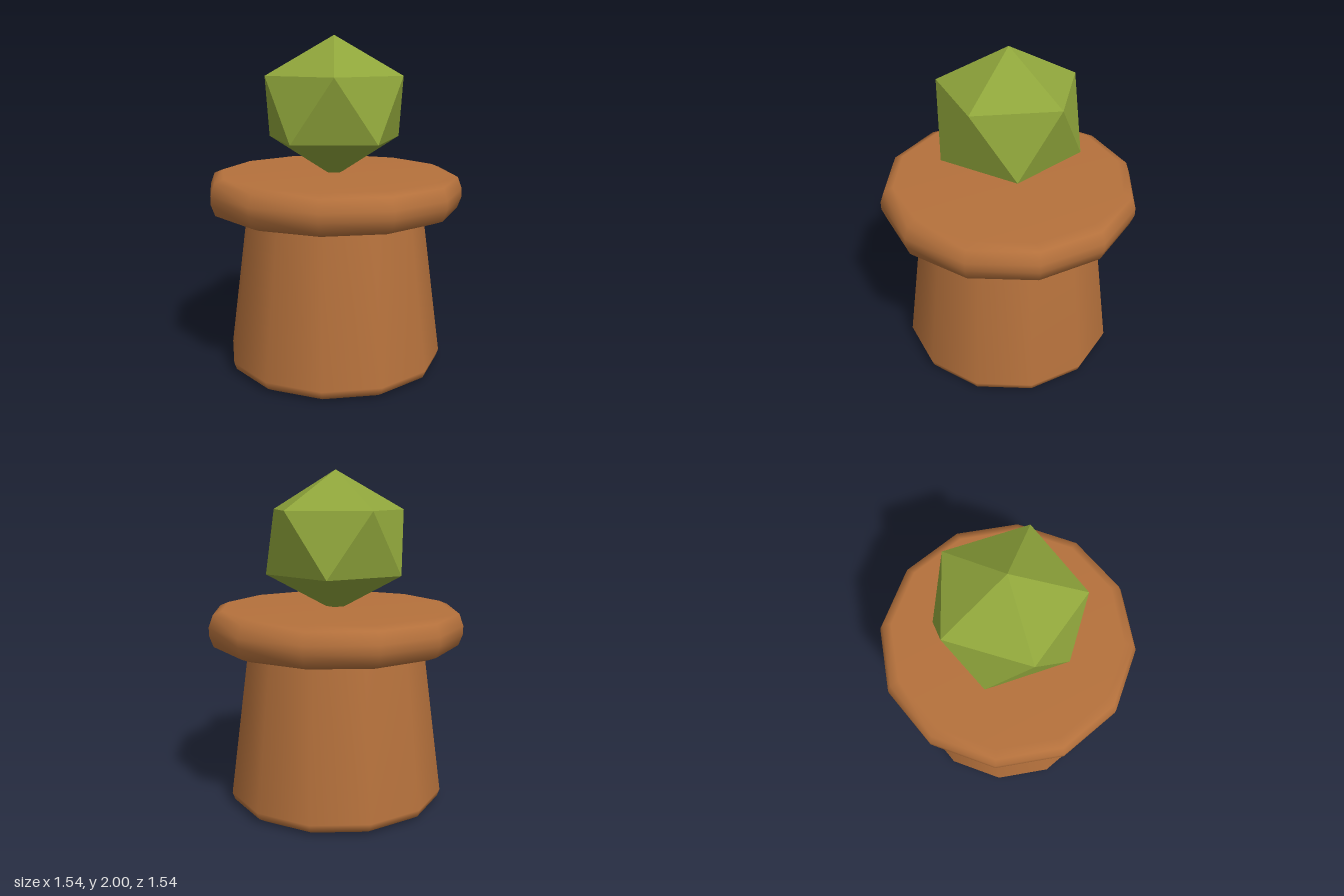
import * as THREE from 'three';

const SIDES = 12;

function turned(name, profile, material) {
  const points = profile.map(([r, y]) => new THREE.Vector2(r, y));
  const mesh = new THREE.Mesh(new THREE.LatheGeometry(points, SIDES), material);
  mesh.name = name;
  return mesh;
}

// Faceted ball: two poles and two staggered rings of five corners
function facetedBall(ringRadius, halfHeight) {
  const corner = (i, step, y) => {
    const a = (i + step) * Math.PI * 2 / 5;
    return [ringRadius * Math.cos(a), y, -ringRadius * Math.sin(a)];
  };
  const ringY = halfHeight / Math.sqrt(5);
  const top = [0, halfHeight, 0], bottom = [0, -halfHeight, 0];
  const positions = [];
  for (let i = 0; i < 5; i++) {
    const u0 = corner(i, 0, ringY), u1 = corner(i, 1, ringY);
    const l0 = corner(i, 0.5, -ringY), l1 = corner(i, 1.5, -ringY);
    positions.push(...top, ...u0, ...u1);
    positions.push(...u0, ...l0, ...u1);
    positions.push(...u1, ...l0, ...l1);
    positions.push(...bottom, ...l1, ...l0);
  }
  const geometry = new THREE.BufferGeometry();
  geometry.setAttribute('position', new THREE.Float32BufferAttribute(positions, 3));
  geometry.computeVertexNormals();
  return geometry;
}

export function createModel() {
  const model = new THREE.Group();
  model.name = 'pottedPlant';
  const clay = new THREE.MeshStandardMaterial({ color: 0xb5713c });
  const leaf = new THREE.MeshStandardMaterial({ color: 0x8fa53b, flatShading: true });

  // Tapered pot with softened edges
  model.add(turned('pot', [
    [0, 0], [0.61, 0], [0.645, 0.022], [0.66, 0.065],
    [0.545, 0.93], [0.53, 0.965], [0.49, 0.98], [0, 0.98],
  ], clay));

  // Thick overhanging rim, closed on top
  model.add(turned('rim', [
    [0, 0.96], [0.69, 0.96], [0.745, 0.982], [0.77, 1.05],
    [0.77, 1.10], [0.745, 1.17], [0.69, 1.192], [0, 1.192],
  ], clay));

  // Faceted plant, its lower tip sunk into the rim
  const plant = new THREE.Mesh(facetedBall(0.42, 0.42), leaf);
  plant.name = 'plant';
  plant.position.y = 1.58;
  model.add(plant);

  return model;
}
